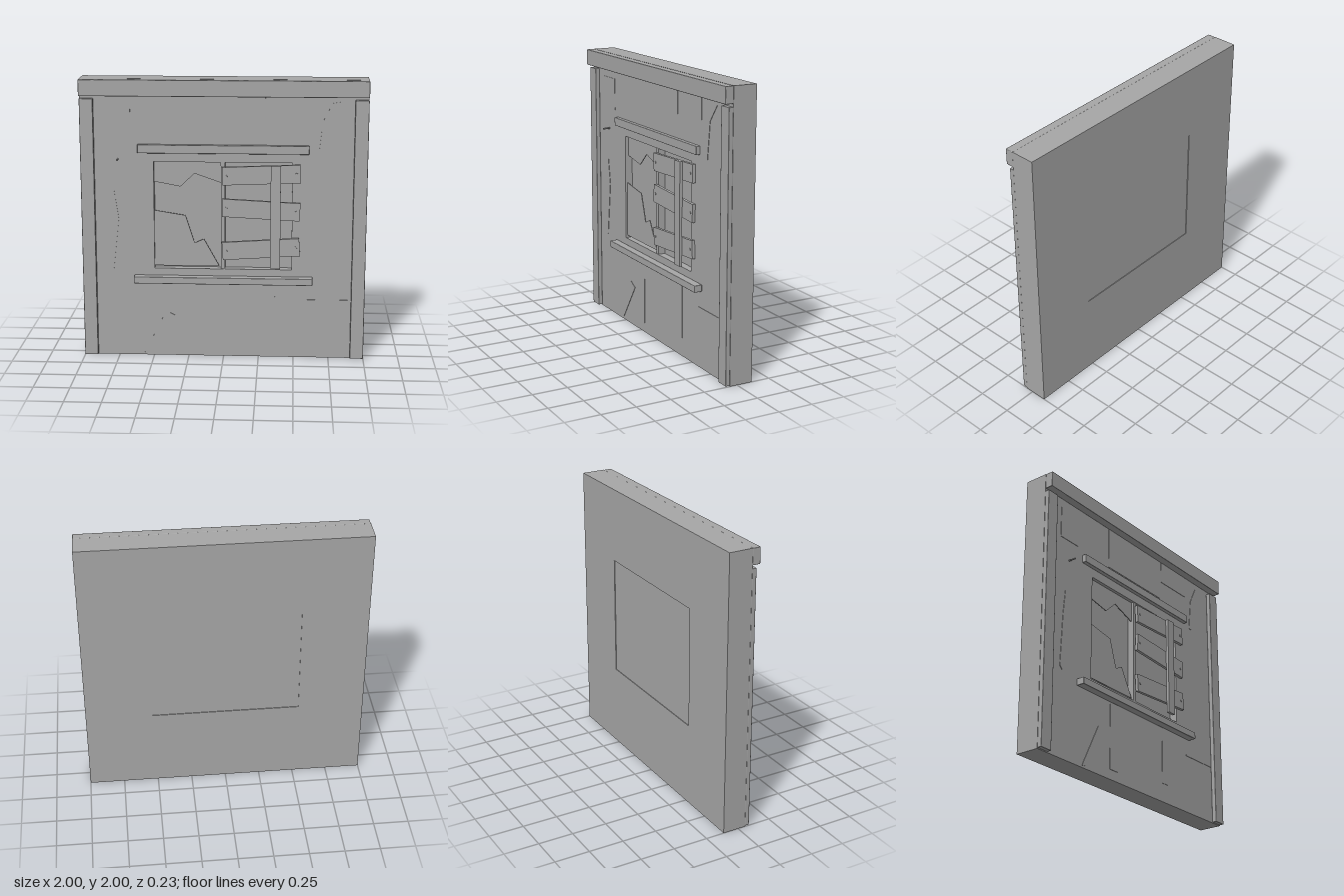
import * as THREE from 'three';
import { RoundedBoxGeometry } from 'three/addons/geometries/RoundedBoxGeometry.js';

const FRONT = 0.055, BACK = -0.115;

export function createModel() {
  const model = new THREE.Group();
  model.name = 'boardedWindowWall';
  const grey = new THREE.MeshStandardMaterial({ color: 0xa6a6a6 });
  grey.name = 'plain grey';

  const add = (name, geometry, x = 0, y = 0, z = 0, tilt = 0) => {
    const mesh = new THREE.Mesh(geometry, grey);
    mesh.name = name;
    mesh.position.set(x, y, z);
    mesh.rotation.z = tilt;
    model.add(mesh);
    return mesh;
  };
  // box given by its limits, optionally with softened edges
  const box = (name, x0, x1, y0, y1, z0, z1, bevel = 0) => {
    const size = [x1 - x0, y1 - y0, z1 - z0];
    const geometry = bevel ? new RoundedBoxGeometry(...size, 1, bevel) : new THREE.BoxGeometry(...size);
    return add(name, geometry, (x0 + x1) / 2, (y0 + y1) / 2, (z0 + z1) / 2);
  };
  const outline = (points) => new THREE.Shape(points.map(([x, y]) => new THREE.Vector2(x, y)));
  const rect = (x0, x1, y0, y1) => [[x0, y0], [x1, y0], [x1, y1], [x0, y1]];
  const plate = (name, points, z, depth) =>
    add(name, new THREE.ExtrudeGeometry(outline(points), { depth, bevelEnabled: false }), 0, 0, z);
  const wallLayer = (name, hole, z0, z1) => {
    const shape = outline(rect(-1, 1, 0, 2));
    shape.holes.push(outline(hole));
    add(name, new THREE.ExtrudeGeometry(shape, { depth: z1 - z0, bevelEnabled: false }), 0, 0, z0);
  };

  // wall with a window recess and a backing panel set slightly into the rear
  wallLayer('wallFront', rect(-0.49, 0.48, 0.65, 1.42), 0, FRONT);
  wallLayer('wallBack', rect(-0.53, 0.53, 0.6, 1.465), BACK, 0);
  box('windowBacking', -0.53, 0.53, 0.6, 1.465, BACK + 0.005, 0);

  // timber trim
  box('topBeam', -1, 1, 1.885, 2, FRONT, 0.115, 0.005);
  for (const side of [-1, 1]) {
    const post = box('sidePost', 0.905, 1, 0.005, 1.865, FRONT, 0.088, 0.004);
    post.position.x *= side;
  }
  box('windowLintel', -0.6, 0.595, 1.485, 1.545, FRONT, 0.087, 0.004);
  box('windowSill', -0.635, 0.63, 0.55, 0.6, FRONT, 0.115, 0.005);
  box('windowMullion', -0.02, 0.01, 0.65, 1.42, 0, 0.05);

  // broken panes
  plate('upperShard', [[-0.49, 1.42], [-0.49, 1.275], [-0.305, 1.24], [-0.205, 1.335], [-0.02, 1.27], [-0.02, 1.42]], 0.025, 0.006);
  plate('lowerShard', [[-0.49, 1.07], [-0.49, 0.667], [-0.03, 0.667], [-0.14, 0.865], [-0.205, 0.835], [-0.27, 1.035]], 0.035, 0.006);

  // crooked boards with a nail head near each end
  for (const [y, tilt] of [[1.336, 0.04], [1.087, -0.05], [0.804, 0.065]]) {
    const board = add('board', new THREE.BoxGeometry(0.545, 0.128, 0.022), 0.264, y, FRONT + 0.014, tilt);
    for (const x of [-0.245, 0.245]) {
      const nail = new THREE.Mesh(new THREE.CylinderGeometry(0.009, 0.009, 0.006, 6), grey);
      nail.name = 'nailHead';
      nail.rotation.x = Math.PI / 2;
      nail.position.set(x, 0, 0.012);
      board.add(nail);
    }
  }
  box('boardBrace', 0.33, 0.4, 0.67, 1.405, 0.08, 0.1);

  // worn patches, stains and cracks on the face
  const decals = {
    smallPatch: rect(-0.83, -0.65, 1.59, 1.82),
    largePatch: rect(-0.315, 0.29, 1.576, 1.89),
    cornerPatch: rect(0.31, 0.61, 1.72, 1.89),
    leftStain: rect(-0.285, -0.195, 0.07, 0.535),
    rightStain: rect(0.3, 0.365, 0.135, 0.535),
    lowerLine: rect(0.59, 0.905, 0.424, 0.432),
    rightCrack: [[0.66, 1.47], [0.69, 1.47], [0.72, 1.73], [0.81, 1.85], [0.75, 1.84], [0.685, 1.71]],
    leftCrack: [[-0.77, 1.21], [-0.79, 1.02], [-0.81, 0.635], [-0.785, 0.61], [-0.74, 1.01]],
    lowerCrack: [[-0.57, 0.015], [-0.53, 0.02], [-0.345, 0.3], [-0.41, 0.335]],
  };
  for (const [name, points] of Object.entries(decals)) plate(name, points, FRONT - 0.001, 0.004);

  // loose nail in the wall
  const nail = add('looseNail', new THREE.CylinderGeometry(0.006, 0.006, 0.055, 6), -0.74, 1.438, 0.084);
  nail.rotation.x = Math.PI / 2;

  return model;
}
